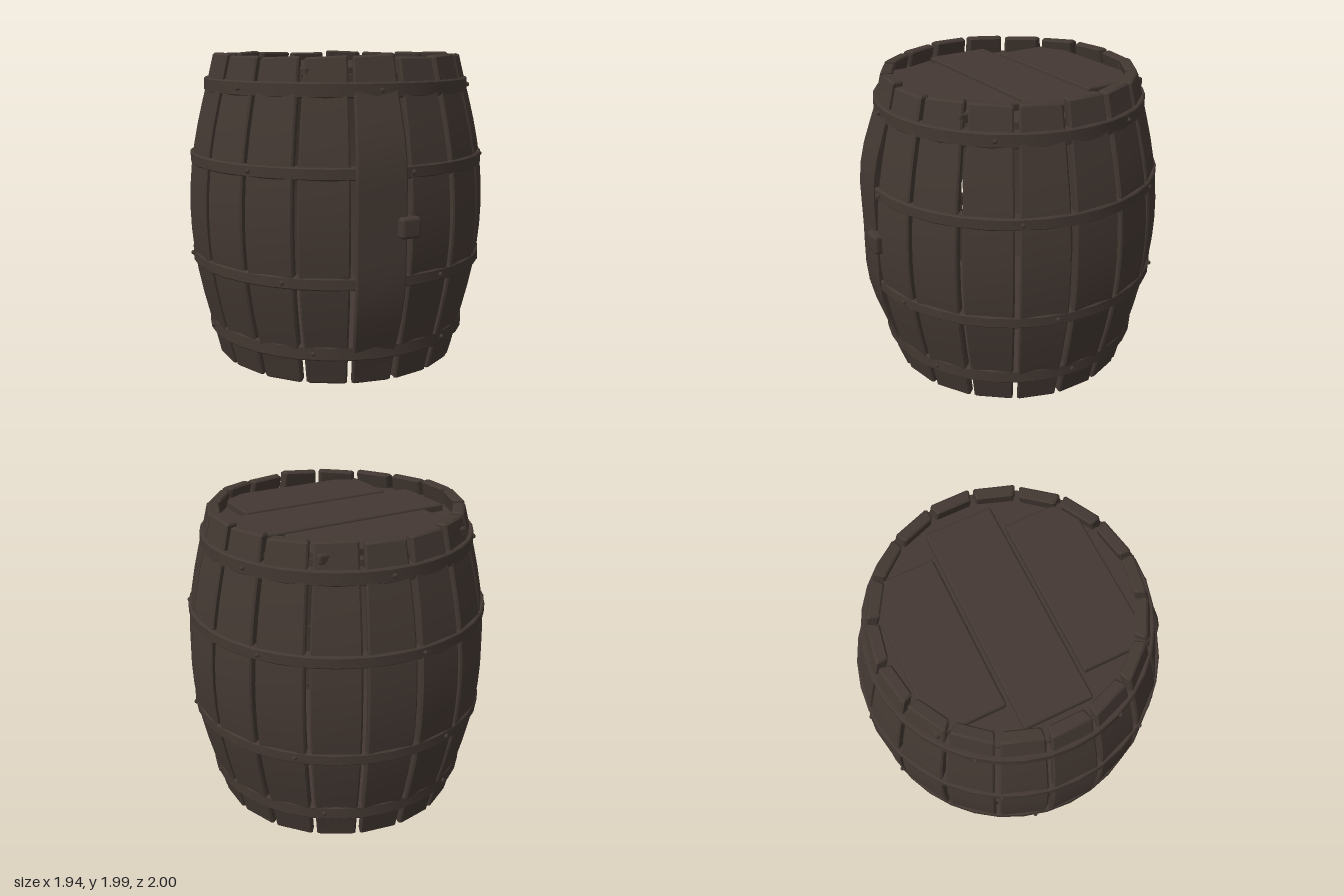
import * as THREE from 'three';
import { toCreasedNormals } from 'three/addons/utils/BufferGeometryUtils.js';
import { RoundedBoxGeometry } from 'three/addons/geometries/RoundedBoxGeometry.js';

const STAVES = 18;
const HALF = Math.PI / STAVES;

// Outer radius of the barrel at height y
const radiusAt = (y) => 0.793 + 0.174 * Math.max(0, 1 - (y - 1) ** 2) ** 1.28;

function seeded(seed) {
  return () => ((seed = (seed * 16807) % 2147483647) / 2147483647);
}

// One curved, chamfered plank built from stacked cross-sections
function staveGeometry(angle, { top, slant, push, flatten }) {
  const thickness = 0.075, bevel = 0.01, gap = 0.016, rows = 14;
  const pos = [], index = [];
  const sin = Math.sin(angle), cos = Math.cos(angle);
  const heights = [0];
  for (let i = 0; i <= rows; i++) heights.push(bevel + (top - 2 * bevel) * i / rows);
  heights.push(top);
  heights.forEach((y, j) => {
    const inset = j === 0 || j === heights.length - 1 ? bevel : 0;
    const s = (y - 1) ** 2;
    const R = radiusAt(y) + push + flatten * s * Math.max(0, 1 - s) ** 4;
    const ro = R - inset, ri = R - thickness + inset;
    const wo = R * Math.tan(HALF) - gap - inset;
    const wi = (R - thickness) * Math.tan(HALF) - gap - inset;
    const c = bevel;
    const section = [
      [-wo + c, ro], [wo - c, ro], [wo, ro - c], [wi, ri + c],
      [wi - c, ri], [-wi + c, ri], [-wi, ri + c], [-wo, ro - c],
    ];
    for (const [u, r] of section) {
      const tilt = slant * u * Math.max(0, (y - 1.8) / 0.2);
      pos.push(r * sin + u * cos, y + tilt, r * cos - u * sin);
    }
  });
  for (let j = 0; j < heights.length - 1; j++) {
    for (let i = 0; i < 8; i++) {
      const a = j * 8 + i, b = j * 8 + (i + 1) % 8;
      index.push(a, b, b + 8, a, b + 8, a + 8);
    }
  }
  const last = (heights.length - 1) * 8;
  for (let i = 1; i < 7; i++) {
    index.push(0, i + 1, i, last, last + i, last + i + 1);
  }
  const g = new THREE.BufferGeometry();
  g.setAttribute('position', new THREE.Float32BufferAttribute(pos, 3));
  g.setIndex(index);
  return toCreasedNormals(g, 0.5);
}

// Band swept round the barrel, with slightly softened edges
function hoopGeometry(radius, y, height) {
  const h = height / 2, c = 0.008, inner = radius - 0.075;
  const profile = [
    [inner, -h], [radius - c, -h], [radius, -h + c],
    [radius, h - c], [radius - c, h], [inner, h], [inner, -h],
  ].map(([r, v]) => new THREE.Vector2(r, y + v));
  return toCreasedNormals(new THREE.LatheGeometry(profile, 36), 0.5);
}

export function createModel() {
  const barrel = new THREE.Group();
  barrel.name = 'barrel';
  const wood = new THREE.MeshStandardMaterial({ color: 0x433832 });
  wood.name = 'darkBrown';

  // The body sits slightly back to balance the bung
  const body = new THREE.Group();
  body.name = 'body';
  body.position.z = -0.017;
  barrel.add(body);

  const add = (name, geometry, x = 0, y = 0, z = 0, parent = body) => {
    const mesh = new THREE.Mesh(geometry, wood);
    mesh.name = name;
    mesh.position.set(x, y, z);
    parent.add(mesh);
    return mesh;
  };

  // Staves: gaps lie on the front and back, one flatter plank at the front covers the middle hoops
  const rnd = seeded(71);
  const staves = new THREE.Group();
  staves.name = 'staves';
  body.add(staves);
  for (let i = 0; i < STAVES; i++) {
    add('stave', staveGeometry((2 * i + 1) * HALF, {
      top: 1.968 + rnd() * 0.015,
      slant: (rnd() - 0.5) * 0.14,
      push: (rnd() - 0.5) * 0.008,
      flatten: i === STAVES - 1 ? 0.36 : 0,
    }), 0, 0, 0, staves);
  }

  // Hoops, each with six rivets
  const hoops = [
    { y: 1.785, r: 0.862, h: 0.09, start: -8 },
    { y: 1.32, r: 0.963, h: 0.075, start: 2 },
    { y: 0.675, r: 0.963, h: 0.075, start: 15 },
    { y: 0.215, r: 0.862, h: 0.09, start: 25 },
  ];
  const rivet = new THREE.SphereGeometry(0.015, 8, 6);
  for (const { y, r, h, start } of hoops) {
    add('hoop', hoopGeometry(r, y, h));
    for (let k = 0; k < 6; k++) {
      const a = THREE.MathUtils.degToRad(start + 60 * k);
      add('rivet', rivet, r * Math.sin(a), y, r * Math.cos(a));
    }
  }

  // Lid disc with three planks, and the base disc
  add('lid', new THREE.CylinderGeometry(0.79, 0.79, 0.04, 36), 0, 1.85, 0);
  add('base', new THREE.CylinderGeometry(0.79, 0.79, 0.04, 36), 0, 0.195, 0);
  const planks = [[1.0, -0.7, -0.265], [1.34, -0.24, 0.19], [1.03, 0.215, 0.64]];
  for (const [w, z0, z1] of planks) {
    add('lidPlank', new RoundedBoxGeometry(w, 0.06, z1 - z0, 1, 0.014),
      0, 1.885, (z0 + z1) / 2, barrel);
  }

  // Bung on the front
  add('bung', new RoundedBoxGeometry(0.135, 0.13, 0.1, 2, 0.025), -0.005, 1, 0.95, barrel);

  return barrel;
}
